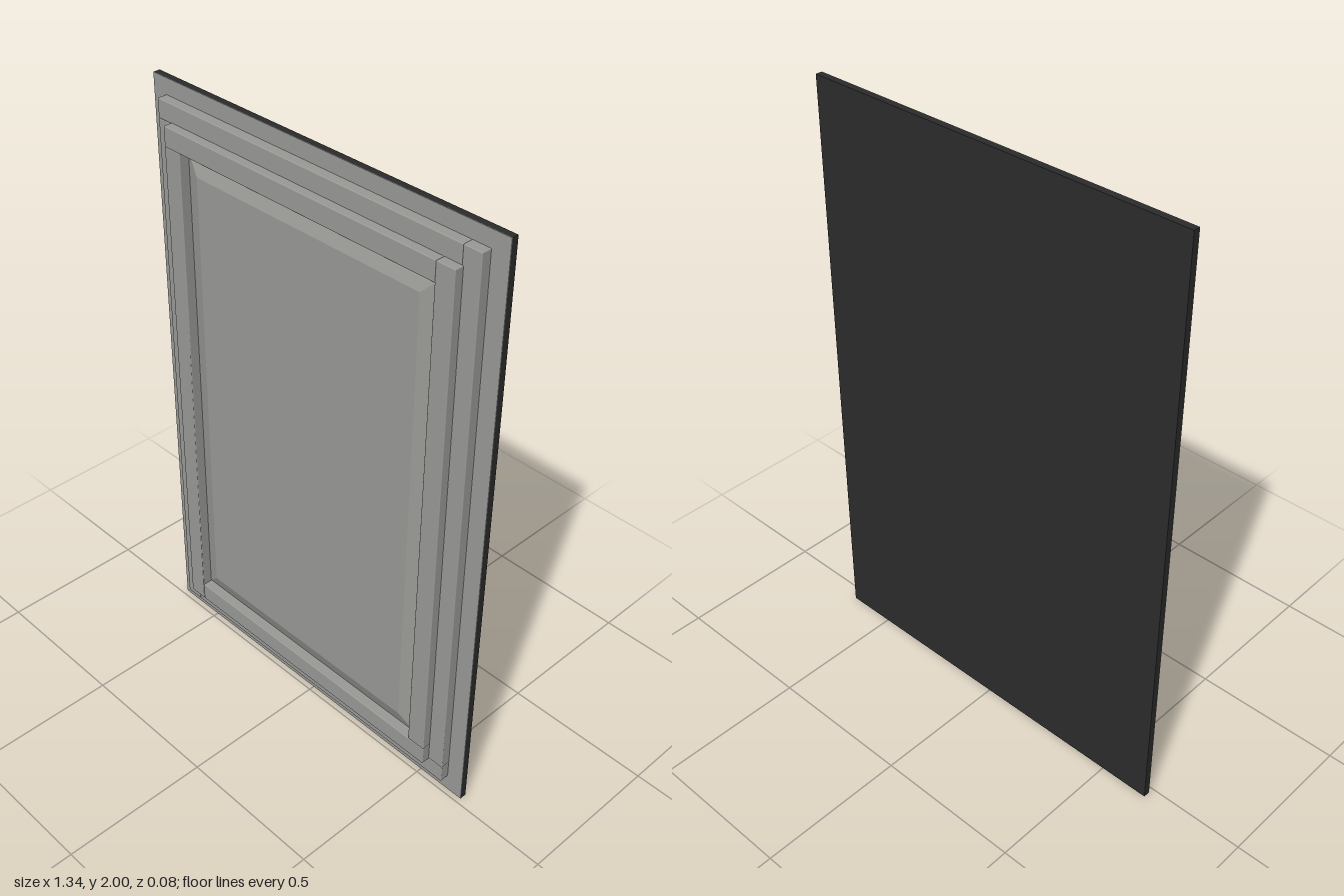
import * as THREE from 'three';
import { RoundedBoxGeometry } from 'three/addons/geometries/RoundedBoxGeometry.js';

export function createModel() {
  const grey = new THREE.MeshStandardMaterial({ name: 'paintedGrey', color: 0x999996 });
  const dark = new THREE.MeshStandardMaterial({ name: 'darkBacking', color: 0x2b2b2b });
  const model = new THREE.Group();
  model.name = 'cabinetDoor';

  // A bar given by its lower and upper corners, with optionally eased edges
  function bar(name, x0, x1, y0, y1, z0, z1, material, radius = 0) {
    const size = [x1 - x0, y1 - y0, z1 - z0];
    const geometry = radius
      ? new RoundedBoxGeometry(...size, 2, radius)
      : new THREE.BoxGeometry(...size);
    const mesh = new THREE.Mesh(geometry, material);
    mesh.name = name;
    mesh.position.set((x0 + x1) / 2, (y0 + y1) / 2, (z0 + z1) / 2);
    return mesh;
  }

  // Four bars meeting in butt joints that run around the frame like a pinwheel
  function frame(name, [x0, x1, y0, y1], w, z0, z1, radius) {
    const group = new THREE.Group();
    group.name = name;
    group.add(
      bar('topRail', x0, x1 - w, y1 - w, y1, z0, z1, grey, radius),
      bar('leftStile', x1 - w, x1, y0 + w, y1, z0, z1, grey, radius),
      bar('bottomRail', x0 + w, x1, y0, y0 + w, z0, z1, grey, radius),
      bar('rightStile', x0, x0 + w, y0, y1 - w, z0, z1, grey, radius)
    );
    return group;
  }

  // Dark board with a thin painted border on its front
  model.add(bar('backBoard', -0.67, 0.67, 0, 2, -0.042, -0.021, dark));
  model.add(frame('outerBorder', [-0.67, 0.67, 0, 2], 0.062, -0.021, -0.019, 0));

  // Two stepped frames
  model.add(frame('middleFrame', [-0.617, 0.611, 0.058, 1.948], 0.062, -0.024, 0.013, 0.003));
  model.add(frame('frontFrame', [-0.56, 0.555, 0.117, 1.89], 0.065, -0.02, 0.042, 0.003));

  // Raised centre panel with sloping edges
  const bevel = 0.06, rise = 0.022;
  const [l, r, b, t] = [-0.497, 0.492, 0.18, 1.828];
  const field = new THREE.Shape([
    new THREE.Vector2(l, b), new THREE.Vector2(r, b),
    new THREE.Vector2(r, t), new THREE.Vector2(l, t)
  ]);
  const panelGeometry = new THREE.ExtrudeGeometry(field, {
    depth: 0.01, bevelEnabled: true, bevelSegments: 1,
    bevelSize: bevel, bevelOffset: -bevel, bevelThickness: rise
  });
  const panel = new THREE.Mesh(panelGeometry, grey);
  panel.name = 'raisedPanel';
  panel.position.z = -0.003;
  model.add(panel);

  return model;
}
